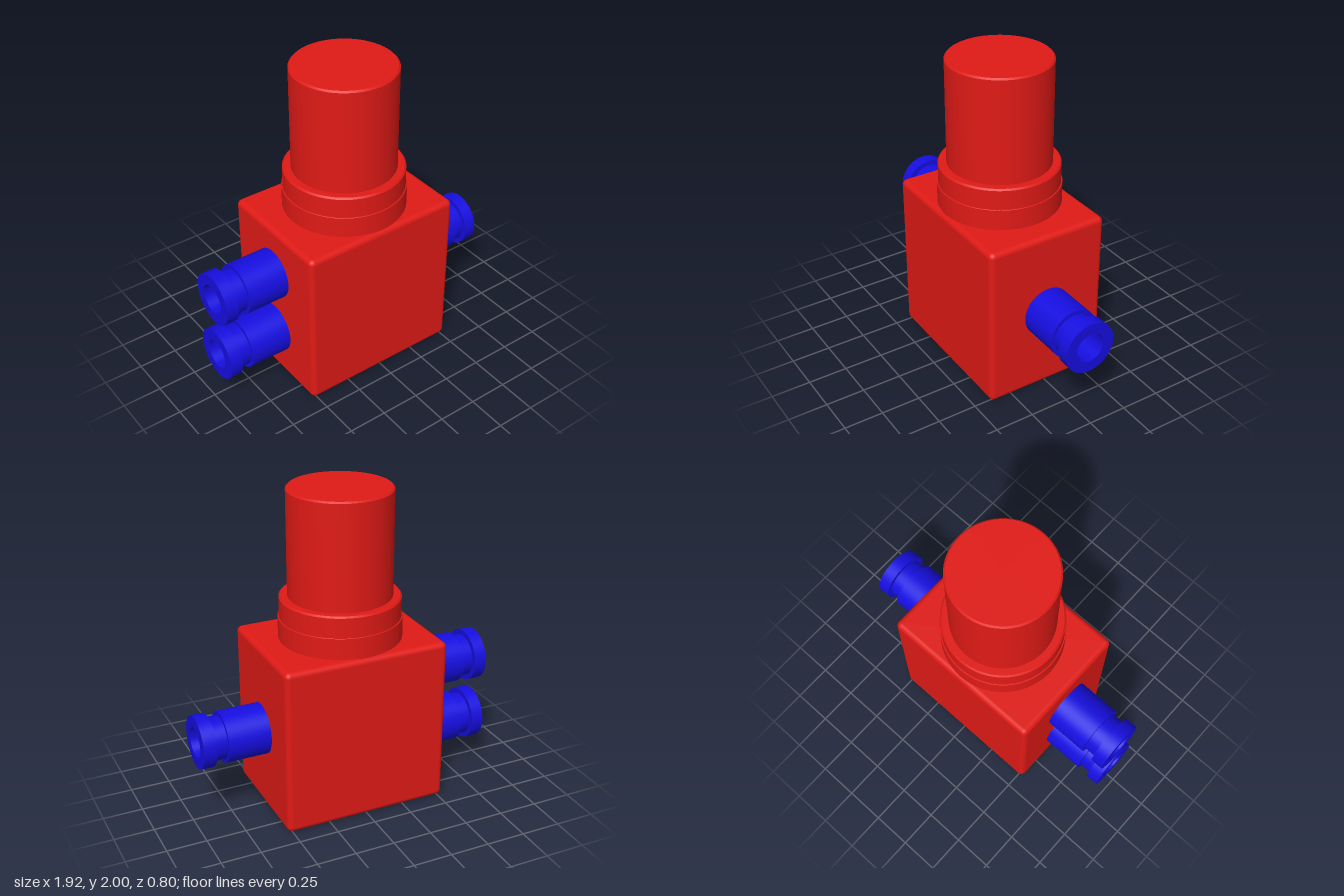
import * as THREE from 'three';
import { RoundedBoxGeometry } from 'three/addons/geometries/RoundedBoxGeometry.js';
import { toCreasedNormals } from 'three/addons/utils/BufferGeometryUtils.js';

const red = new THREE.MeshStandardMaterial({ color: 0xe01a16 });
const blue = new THREE.MeshStandardMaterial({ color: 0x160ee0 });

// Turned part with crisp edges; profile is [radius, height] pairs
function turned(name, profile, material) {
  const points = profile.map(([r, h]) => new THREE.Vector2(r, h));
  const geometry = toCreasedNormals(new THREE.LatheGeometry(points, 64), 0.5);
  const mesh = new THREE.Mesh(geometry, material);
  mesh.name = name;
  return mesh;
}

// Solid disc or column with a small bevel on the top edge
function column(name, radius, bottom, top, bevel) {
  return turned(name, [
    [0, bottom], [radius, bottom], [radius, top - bevel], [radius - bevel, top], [0, top],
  ], red);
}

export function createModel() {
  const model = new THREE.Group();
  model.name = 'valve';

  // Valve block
  const body = new THREE.Mesh(new RoundedBoxGeometry(1.06, 1.066, 0.8, 4, 0.035), red);
  body.name = 'body';
  body.position.y = 0.533;
  model.add(body);

  // Stepped collar and tall knob
  model.add(
    column('lowerCollar', 0.38, 1.05, 1.2, 0.002),
    column('upperCollar', 0.372, 1.2, 1.333, 0.01),
    column('knob', 0.32, 1.32, 2, 0.01),
  );

  // Push-in tube fittings: one on the left, two on the right
  const fittingProfile = [
    [0, 0.5], [0.16, 0.5], [0.16, 0.8], [0.135, 0.8], [0.135, 0.88],
    [0.167, 0.88], [0.167, 0.96], [0.095, 0.96], [0.095, 0.54], [0, 0.54],
  ];
  for (const [name, side, y] of [
    ['leftFitting', 1, 0.535],
    ['upperRightFitting', -1, 0.75],
    ['lowerRightFitting', -1, 0.322],
  ]) {
    const fitting = turned(name, fittingProfile, blue);
    fitting.rotation.z = -side * Math.PI / 2;
    fitting.position.y = y;
    model.add(fitting);
  }

  return model;
}
